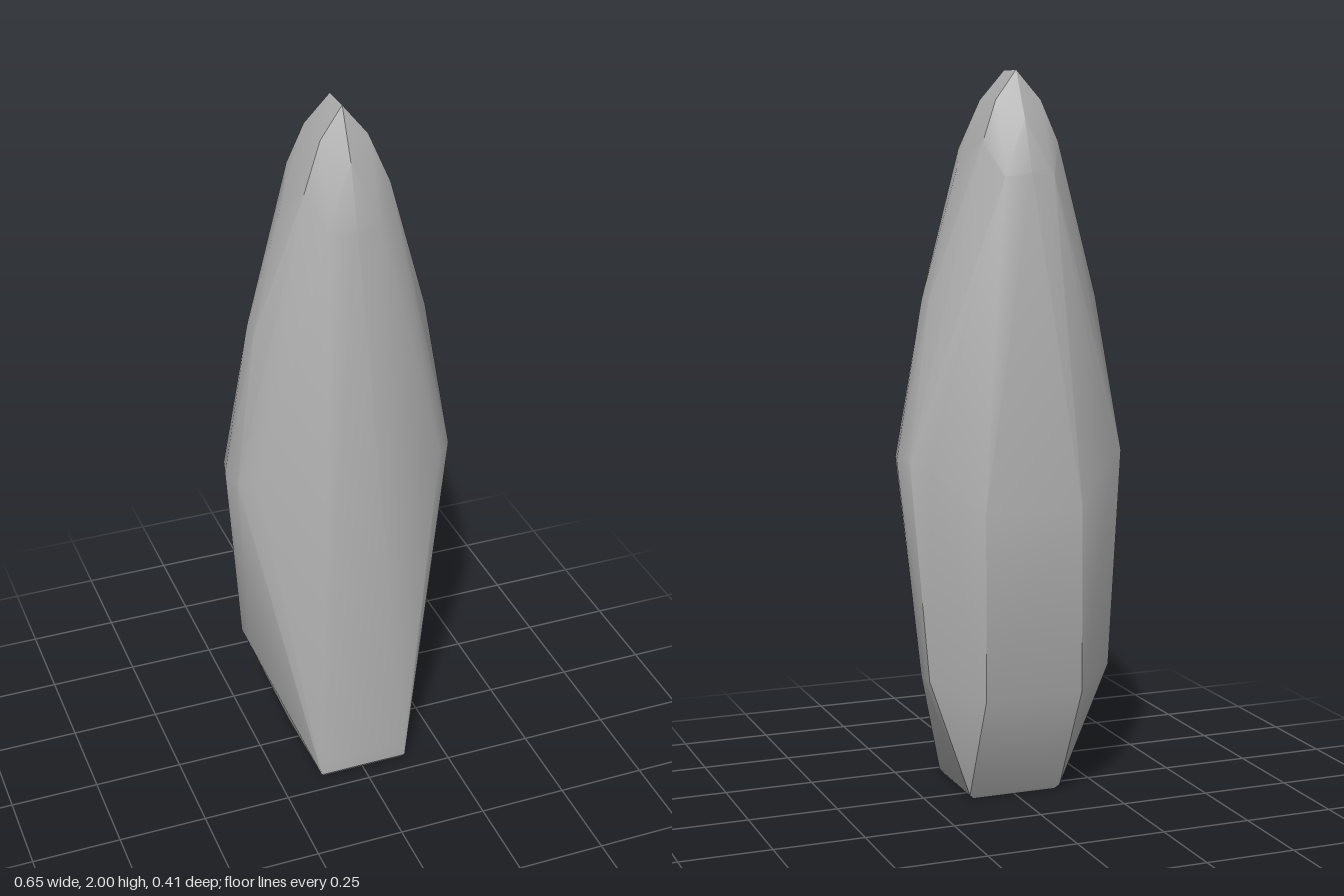
import * as THREE from 'three';
import { ConvexGeometry } from 'three/addons/geometries/ConvexGeometry.js';
import { toCreasedNormals } from 'three/addons/utils/BufferGeometryUtils.js';

// Corners of one half of the faceted body as [x, y, z]; the other half is mirrored
const corners = [
  // base with a narrow bevel
  [0.122, 0, 0.195], [0.122, 0, -0.055],
  [0.13, 0.012, 0.203], [0.135, 0.012, -0.062], [0.127, 0.06, 0.202],
  // lower back and flank
  [0.14, 0.32, -0.205], [0.265, 0.36, -0.1], [0.265, 0.36, -0.03],
  // waist
  [0.14, 0.83, -0.203], [0.265, 0.95, -0.12], [0.31, 0.96, -0.077],
  [0.326, 0.96, -0.015], [0.31, 0.96, 0.045], [0.265, 0.96, 0.09],
  // upper flank
  [0.243, 1.39, -0.045], [0.243, 1.39, 0.012],
  // shoulder
  [0, 1.7, 0.134], [0.07, 1.7, 0.118], [0, 1.73, -0.18], [0.07, 1.72, -0.166],
  [0.15, 1.74, -0.015], [0.118, 1.79, 0.062], [0.108, 1.81, -0.1],
  // wedge-shaped tip
  [0, 1.87, 0.085], [0, 1.87, -0.13],
  [0.065, 1.92, 0.038], [0.065, 1.92, -0.083],
  [0, 2, 0.023], [0, 2, -0.066],
];

export function createModel() {
  const group = new THREE.Group();
  const stone = new THREE.MeshStandardMaterial({ color: 0xb0b0b0 });
  stone.name = 'grey';

  const points = [];
  for (const [x, y, z] of corners) {
    points.push(new THREE.Vector3(x, y, z));
    if (x > 0) points.push(new THREE.Vector3(-x, y, z));
  }

  // Closed body with soft shading over shallow facets
  const geometry = toCreasedNormals(new ConvexGeometry(points), THREE.MathUtils.degToRad(28));
  const body = new THREE.Mesh(geometry, stone);
  body.name = 'facetedBody';
  group.add(body);
  return group;
}
